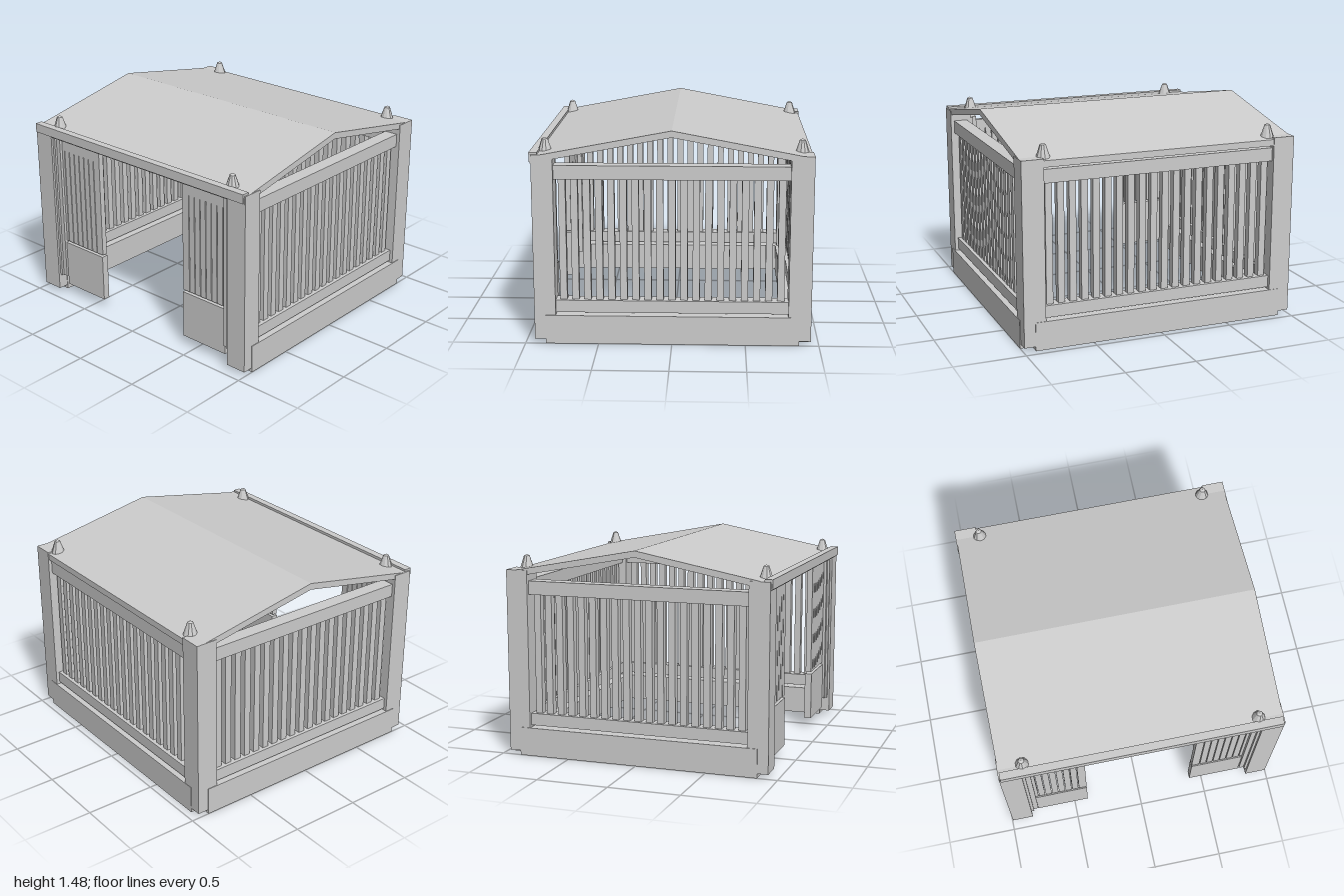
import * as THREE from 'three';

export function createModel() {
  const group = new THREE.Group();
  const grey = new THREE.MeshStandardMaterial({ color: 0xcccccc, flatShading: true });
  grey.name = 'light grey';

  const add = (name, geometry, parent = group) => {
    const mesh = new THREE.Mesh(geometry, grey);
    mesh.name = name;
    parent.add(mesh);
    return mesh;
  };
  // Box given by its limits on each axis
  const box = (name, x0, x1, y0, y1, z0, z1, parent) => {
    const g = new THREE.BoxGeometry(x1 - x0, y1 - y0, z1 - z0);
    g.translate((x0 + x1) / 2, (y0 + y1) / 2, (z0 + z1) / 2);
    return add(name, g, parent);
  };
  // Same box on the side s (+1 left, -1 right)
  const sideBox = (name, s, a, b, ...rest) =>
    box(name, Math.min(s * a, s * b), Math.max(s * a, s * b), ...rest);

  // Back wall: plinth, rails and slats
  const back = new THREE.Group();
  back.name = 'backWall';
  group.add(back);
  box('backPlinth', -0.915, 0.915, 0, 0.2, -0.948, -0.78, back);
  box('backLowerRail', -0.84, 0.84, 0.215, 0.3, -0.92, -0.82, back);
  box('backUpperRail', -0.84, 0.84, 1.14, 1.235, -0.92, -0.82, back);
  for (let i = 0; i < 20; i++) {
    const x = (i - 9.5) * 0.0837;
    box('backSlat', x - 0.024, x + 0.024, 0.3, 1.14, -0.895, -0.845, back);
  }

  for (const s of [1, -1]) {
    // Corner posts with pointed finials
    sideBox('frontPost', s, 0.84, 0.995, 0.03, 1.31, 0.79, 0.935);
    sideBox('backPost', s, 0.84, 0.995, 0.03, 1.31, -0.945, -0.79);
    for (const z of [0.86, -0.87]) {
      const finial = add('finial', new THREE.LatheGeometry([
        new THREE.Vector2(0.05, 1.3), new THREE.Vector2(0.02, 1.39), new THREE.Vector2(0, 1.4),
      ], 10));
      finial.position.set(s * 0.822, 0, z);
    }

    // Side wall
    const side = new THREE.Group();
    side.name = s > 0 ? 'leftWall' : 'rightWall';
    group.add(side);
    sideBox('sidePlinth', s, 0.835, 1, 0, 0.2, -0.865, 0.86, side);
    sideBox('sideLowerRail', s, 0.87, 0.97, 0.215, 0.3, -0.79, 0.79, side);
    sideBox('sideUpperRail', s, 0.87, 0.97, 1.14, 1.235, -0.79, 0.79, side);
    for (let i = 0; i < 19; i++) {
      const z = (i - 9) * 0.082;
      sideBox('sideSlat', s, 0.895, 0.945, 0.3, 1.14, z - 0.024, z + 0.024, side);
    }

    // Front wing: jamb, solid lower panel, planks and top rail
    const wing = new THREE.Group();
    wing.name = s > 0 ? 'leftFrontPanel' : 'rightFrontPanel';
    group.add(wing);
    sideBox('jambBack', s, 0.82, 0.84, 0.14, 1.25, 0.8, 0.92, wing);
    sideBox('jambFront', s, 0.785, 0.82, 0.14, 1.25, 0.83, 0.905, wing);
    sideBox('lowerPanel', s, 0.4, 0.785, 0.07, 0.415, 0.84, 0.89, wing);
    sideBox('topRail', s, 0.4, 0.785, 1.15, 1.22, 0.845, 0.885, wing);
    const edges = [0.4, 0.46, 0.51, 0.56, 0.61, 0.66, 0.71, 0.76, 0.785];
    for (let i = 0; i < 8; i++) {
      sideBox('plank', s, edges[i] + (i ? 0.003 : 0), edges[i + 1] - (i < 7 ? 0.003 : 0),
        0.43, 1.15, 0.845, 0.885, wing);
    }
  }

  // Shallow gabled roof, profile in (z, y) swept along x
  const shape = new THREE.Shape([
    [-0.94, 1.252], [0, 1.43], [0.94, 1.252], [0.94, 1.297], [0, 1.475], [-0.94, 1.297],
  ].map(([z, y]) => new THREE.Vector2(z, y)));
  const roof = new THREE.ExtrudeGeometry(shape, { depth: 1.98, bevelEnabled: false });
  roof.translate(0, 0, -0.99);
  roof.rotateY(Math.PI / 2);
  add('roof', roof);

  // Front eave board
  box('eaveBoard', -0.985, 0.985, 1.26, 1.325, 0.893, 0.948);

  return group;
}
